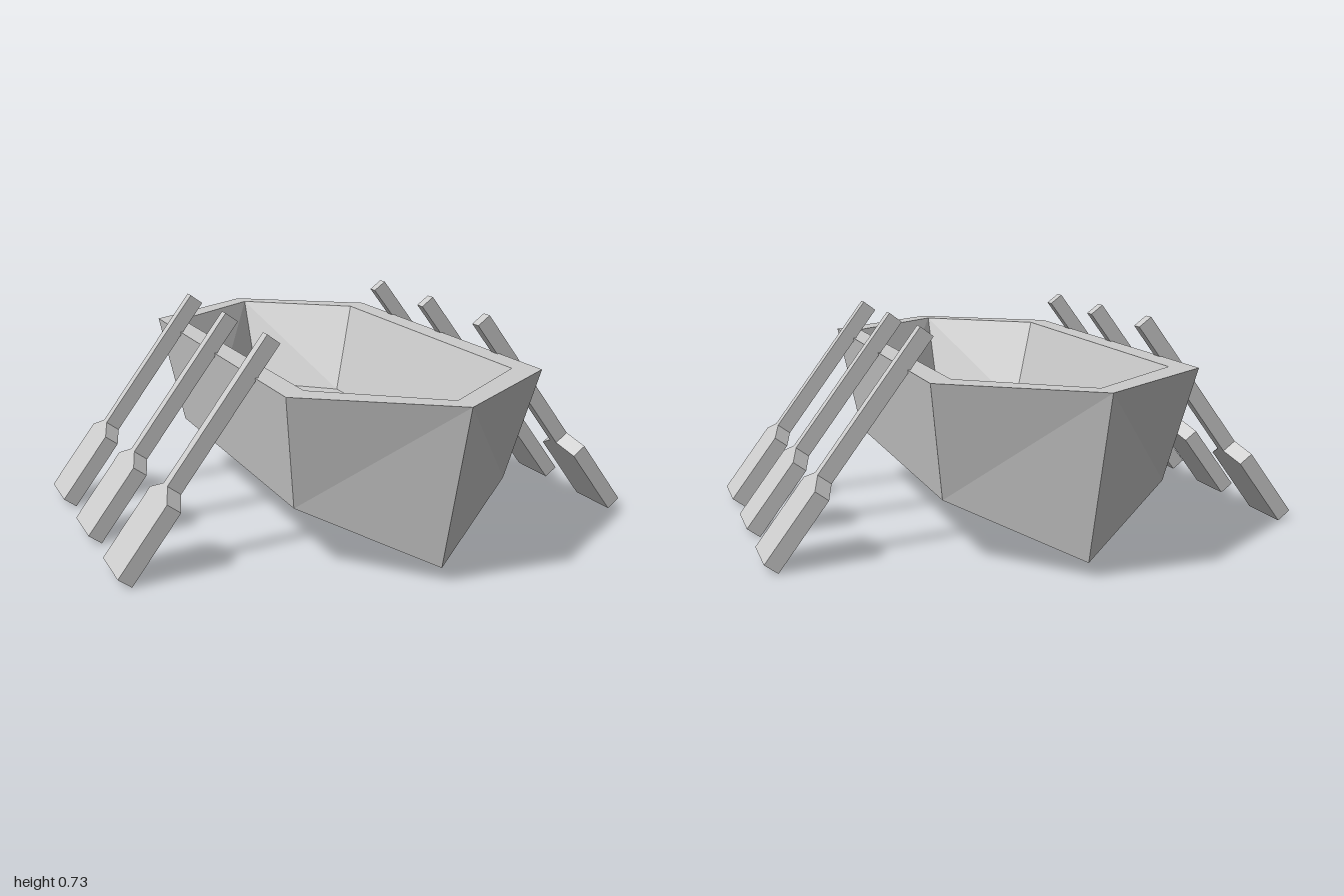
import * as THREE from 'three';

const material = new THREE.MeshStandardMaterial({ color: 0xcccccc, flatShading: true });

// Six-sided ring, pointed at bow and stern: shoulders at (x, y, z), points at (0, endY, endZ)
function ring(x, y, z, endY, endZ) {
  return [
    [0, endY, endZ], [x, y, z], [x, y, -z],
    [0, endY, -endZ], [-x, y, -z], [-x, y, z],
  ];
}

function facetedMesh(name, build) {
  const positions = [];
  const tri = (...corners) => corners.forEach((c) => positions.push(...c));
  const quad = (a, b, c, d) => { tri(a, b, c); tri(a, c, d); };
  // Strip between two rings; the bow and stern panels are split from the points of ring a or ring b
  const band = (a, b, splitFromA) => {
    for (let i = 0; i < 6; i++) {
      const j = (i + 1) % 6;
      if ((i % 3 === 0) === splitFromA) quad(a[i], a[j], b[j], b[i]);
      else quad(a[j], b[j], b[i], a[i]);
    }
  };
  // Splits the strip correctly where the first corner carries the diagonal
  build(quad, band);
  const geometry = new THREE.BufferGeometry();
  geometry.setAttribute('position', new THREE.Float32BufferAttribute(positions, 3));
  geometry.computeVertexNormals();
  const mesh = new THREE.Mesh(geometry, material);
  mesh.name = name;
  return mesh;
}

function createHull() {
  const rimOuter = ring(0.445, 0.6, 0.68, 0.6, 1);
  const rimInner = ring(0.365, 0.6, 0.625, 0.6, 0.915);
  const chine = ring(0.38, 0.21, 0.575, 0.05, 0.845);
  const floor = ring(0.26, 0.275, 0.53, 0.275, 0.77);

  const hull = new THREE.Group();
  hull.name = 'hull';
  hull.add(
    // Outer planking and V-shaped bottom
    facetedMesh('outerHull', (quad, band) => {
      band(chine, rimOuter, false);
      quad(chine[0], chine[3], chine[2], chine[1]);
      quad(chine[0], chine[5], chine[4], chine[3]);
    }),
    // Flat rim
    facetedMesh('rim', (quad, band) => band(rimOuter, rimInner, true)),
    // Inner walls
    facetedMesh('innerWalls', (quad, band) => band(rimInner, floor, true)),
    // Flat floor
    facetedMesh('floor', (quad) => {
      quad(floor[0], floor[1], floor[2], floor[3]);
      quad(floor[0], floor[3], floor[4], floor[5]);
    }),
  );
  return hull;
}

// Flat oar hanging down from its grip at the origin
function oarGeometry() {
  const length = 0.877, neck = 0.565, shoulder = 0.605;
  const shaft = 0.02, blade = 0.097, thickness = 0.054;
  const outline = [
    [-shaft, 0], [-shaft, -neck], [-blade, -shoulder], [-blade, -length],
    [blade, -length], [blade, -shoulder], [shaft, -neck], [shaft, 0],
  ].map(([x, y]) => new THREE.Vector2(x, y));
  const geometry = new THREE.ExtrudeGeometry(new THREE.Shape(outline), {
    depth: thickness, bevelEnabled: false,
  });
  geometry.translate(0, 0, -thickness / 2);
  geometry.rotateY(Math.PI / 2);
  return geometry;
}

export function createModel() {
  const boat = new THREE.Group();
  boat.name = 'rowingBoat';
  boat.add(createHull());

  // Three oars on each side, sloping outward
  const geometry = oarGeometry();
  const tilt = Math.atan2(0.525, 0.7025);
  for (const side of [-1, 1]) {
    for (const z of [-0.4, 0, 0.4]) {
      const oar = new THREE.Mesh(geometry, material);
      oar.name = side > 0 ? 'leftOar' : 'rightOar';
      oar.position.set(side * 0.38, 0.72, z);
      oar.rotation.z = side * tilt;
      boat.add(oar);
    }
  }
  return boat;
}
